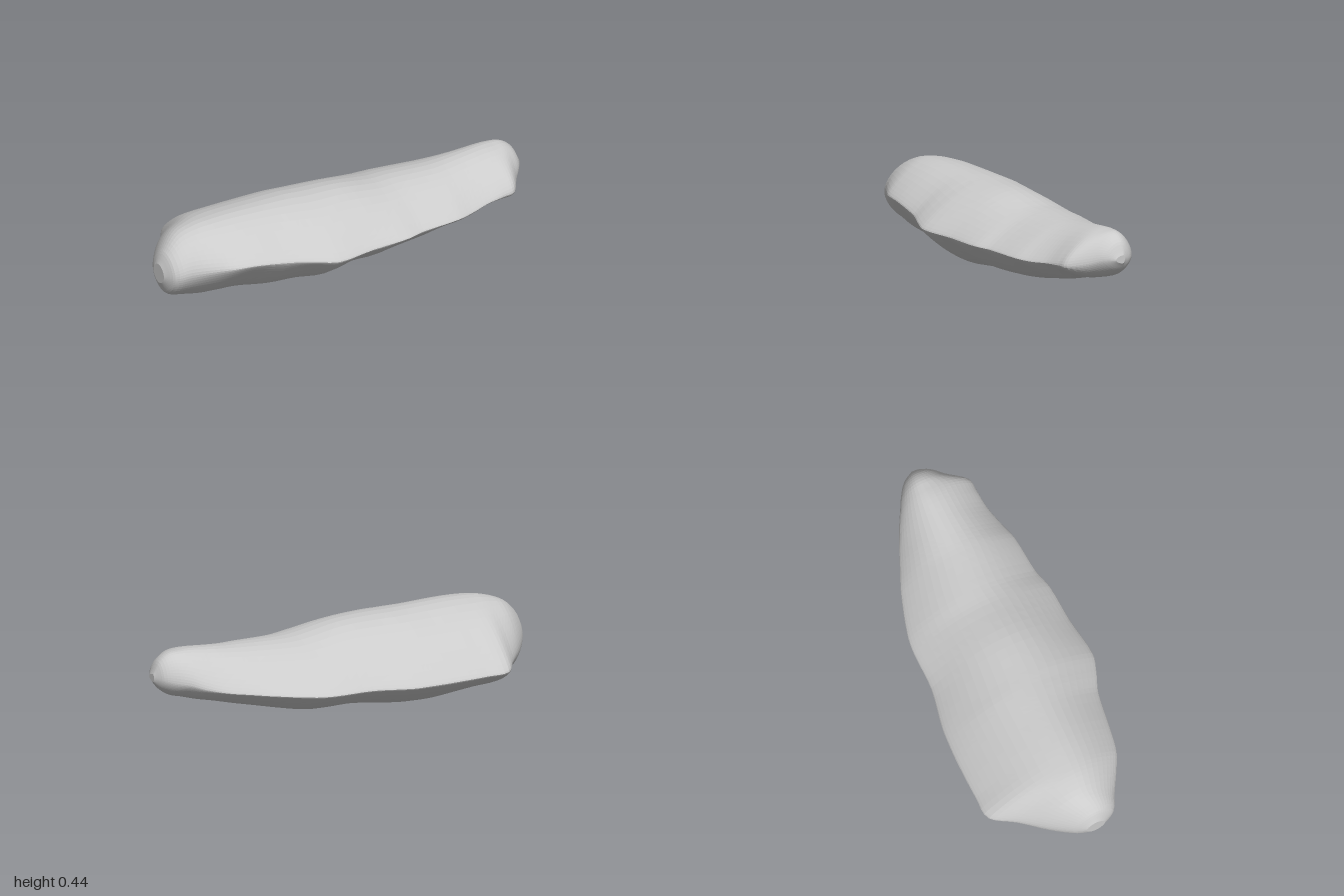
import * as THREE from 'three';

// Cross-sections along x: x, top y, bottom y, front z, front edge y, back z, back edge y
const SECTIONS = [
  [-1.0, 0.27, 0.17, 0.08, 0.22, -0.02, 0.22],
  [-0.97, 0.33, 0.11, 0.14, 0.23, -0.08, 0.21],
  [-0.9, 0.39, 0.07, 0.18, 0.25, -0.18, 0.2],
  [-0.8, 0.425, 0.045, 0.24, 0.27, -0.3, 0.19],
  [-0.72, 0.435, 0.04, 0.28, 0.28, -0.41, 0.18],
  [-0.6, 0.44, 0.03, 0.305, 0.28, -0.42, 0.18],
  [-0.4, 0.438, 0.003, 0.34, 0.26, -0.42, 0.18],
  [-0.3, 0.437, 0.004, 0.38, 0.25, -0.415, 0.18],
  [-0.2, 0.435, 0.01, 0.408, 0.24, -0.405, 0.18],
  [0.0, 0.428, 0.035, 0.385, 0.24, -0.365, 0.19],
  [0.2, 0.398, 0.04, 0.375, 0.24, -0.36, 0.195],
  [0.3, 0.394, 0.055, 0.35, 0.24, -0.345, 0.2],
  [0.5, 0.396, 0.097, 0.335, 0.24, -0.28, 0.22],
  [0.6, 0.402, 0.12, 0.308, 0.24, -0.235, 0.23],
  [0.7, 0.412, 0.147, 0.283, 0.25, -0.19, 0.24],
  [0.8, 0.422, 0.17, 0.275, 0.26, -0.14, 0.26],
  [0.86, 0.422, 0.187, 0.265, 0.265, -0.105, 0.28],
  [0.92, 0.415, 0.205, 0.18, 0.28, -0.07, 0.29],
  [0.97, 0.38, 0.24, 0.12, 0.3, -0.03, 0.3],
  [1.0, 0.32, 0.28, 0.07, 0.3, 0.02, 0.3],
];
const SIDES = 48, STEPS = 4;

// Smooth interpolation of one column between section i and i + 1
function blend(i, u, c) {
  const last = SECTIONS.length - 1;
  const slope = (k) => {
    const a = SECTIONS[Math.max(k - 1, 0)], b = SECTIONS[Math.min(k + 1, last)];
    return (b[c] - a[c]) / (b[0] - a[0]);
  };
  const p = SECTIONS[i], q = SECTIONS[i + 1], w = q[0] - p[0];
  const u2 = u * u, u3 = u2 * u;
  return p[c] * (2 * u3 - 3 * u2 + 1) + q[c] * (3 * u2 - 2 * u3)
    + w * (slope(i) * (u3 - 2 * u2 + u) + slope(i + 1) * (u3 - u2));
}

// Lens-shaped ring, growing rounder towards both ends
function ring(x, top, bottom, frontZ, frontY, backZ, backY) {
  const ridge = THREE.MathUtils.clamp((frontZ + backZ) / 2, -0.01, 0.03);
  const round = 0.15 + 0.6 * THREE.MathUtils.smoothstep(Math.abs(x), 0.65, 1);
  const points = [];
  for (let j = 0; j < SIDES; j++) {
    const a = (j / SIDES) * Math.PI * 2;
    const t = Math.cos(a), s = Math.sin(a);
    const rim = (frontY + backY) / 2 + (t * (frontY - backY)) / 2;
    const lens = (1 - round) * Math.cos((t * Math.PI) / 2) + round * Math.abs(s);
    const height = (s > 0 ? top : bottom) - (frontY + backY) / 2;
    // shallow chips on the lower front face
    const chip = s < 0 && t > 0 ? 0.012 * s * t * Math.sin(x * 24) * (1 - x * x) : 0;
    const z = ridge + (t > 0 ? t * (frontZ - ridge) : t * (ridge - backZ));
    points.push(x, rim + height * lens + chip, z);
  }
  return points;
}

export function createModel() {
  const group = new THREE.Group();
  const positions = [], index = [];
  let rings = 0;
  const addRing = (i, u) => {
    const v = [1, 2, 3, 4, 5, 6].map((c) => blend(i, u, c));
    const x = THREE.MathUtils.lerp(SECTIONS[i][0], SECTIONS[i + 1][0], u);
    positions.push(...ring(x, ...v));
    rings++;
  };
  for (let i = 0; i < SECTIONS.length - 1; i++)
    for (let k = 0; k < STEPS; k++) addRing(i, k / STEPS);
  addRing(SECTIONS.length - 2, 1);

  // Skin between rings
  for (let i = 0; i < rings - 1; i++)
    for (let j = 0; j < SIDES; j++) {
      const n = (j + 1) % SIDES;
      const a = i * SIDES + j, b = a + SIDES, c = (i + 1) * SIDES + n, d = i * SIDES + n;
      index.push(a, b, c, a, c, d);
    }

  // Blunt end caps
  const left = rings * SIDES, right = left + 1, lastRing = (rings - 1) * SIDES;
  positions.push(-1, 0.22, 0.03, 1, 0.3, 0.045);
  for (let j = 0; j < SIDES; j++) {
    const n = (j + 1) % SIDES;
    index.push(left, j, n, right, lastRing + n, lastRing + j);
  }

  const geometry = new THREE.BufferGeometry();
  geometry.setAttribute('position', new THREE.Float32BufferAttribute(positions, 3));
  geometry.setIndex(index);
  geometry.computeVertexNormals();

  const stone = new THREE.Mesh(
    geometry,
    new THREE.MeshStandardMaterial({ color: 0xcccccc, flatShading: true })
  );
  stone.name = 'flatStone';
  group.add(stone);
  return group;
}
